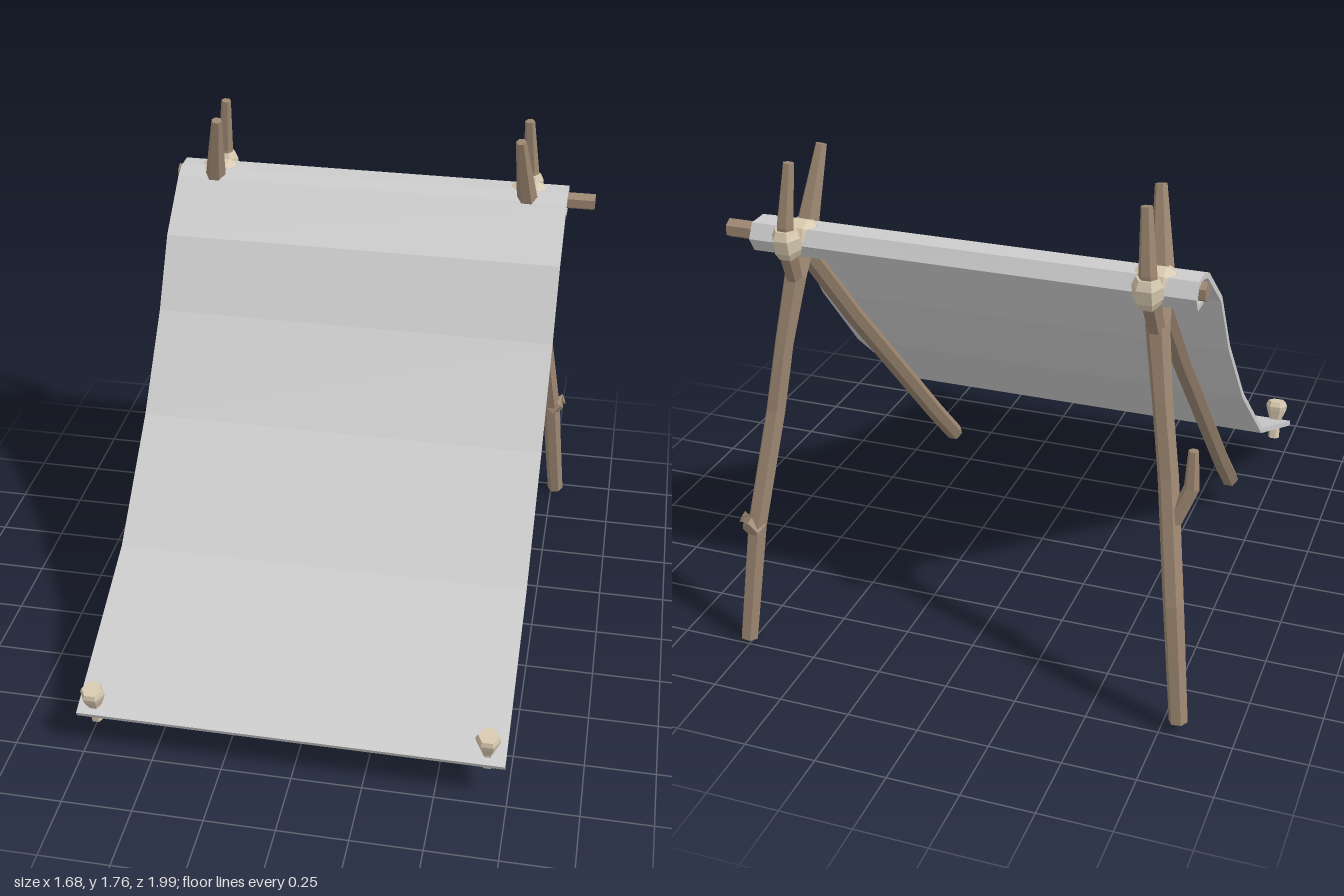
import * as THREE from 'three';

const mat = (color) => new THREE.MeshStandardMaterial({ color, flatShading: true });
const wood = mat(0x9c8671);
const rope = mat(0xd6c8ae);
const cloth = mat(0xcccccc);
const V = (x, y, z) => new THREE.Vector3(x, y, z);

// Faceted stick: rings of `sides` corners along points [x, y, z, radius], capped at both ends
function stick(name, points, material = wood, sides = 6) {
  const p = points.map(([x, y, z]) => V(x, y, z));
  const rings = p.map((c, i) => {
    const t = p[Math.min(i + 1, p.length - 1)].clone().sub(p[Math.max(i - 1, 0)]).normalize();
    const ref = Math.abs(t.x) > 0.8 ? V(0, 1, 0) : V(1, 0, 0);
    const v = t.clone().cross(ref).normalize();
    const u = v.clone().cross(t);
    return Array.from({ length: sides }, (_, k) => {
      const a = (k / sides) * Math.PI * 2;
      return c.clone().addScaledVector(u, Math.cos(a) * points[i][3]).addScaledVector(v, Math.sin(a) * points[i][3]);
    });
  });
  const tris = [];
  const last = rings.length - 1;
  for (let k = 0; k < sides; k++) {
    const n = (k + 1) % sides;
    for (let i = 0; i < last; i++) {
      const [a, b, c, d] = [rings[i][k], rings[i][n], rings[i + 1][n], rings[i + 1][k]];
      tris.push(a, c, b, a, d, c);
    }
    tris.push(p[0], rings[0][k], rings[0][n], p[last], rings[last][n], rings[last][k]);
  }
  // Corners run clockwise about the direction of travel, so swap them to face outward
  const g = new THREE.BufferGeometry();
  const a = V(0, 0, 0).subVectors(tris[1], tris[0]).cross(V(0, 0, 0).subVectors(tris[2], tris[0]));
  const out = tris[0].clone().add(tris[1]).add(tris[2]).divideScalar(3).sub(p[0].clone().add(p[1]).multiplyScalar(0.5));
  if (a.dot(out) < 0) for (let i = 0; i < tris.length; i += 3) [tris[i + 1], tris[i + 2]] = [tris[i + 2], tris[i + 1]];
  g.setFromPoints(tris);
  g.computeVertexNormals();
  const m = new THREE.Mesh(g, material);
  m.name = name;
  return m;
}

// Cloth sheet: a thickened side profile swept across x
function sheet(profile, x0, x1, thickness) {
  const p = profile.map(([z, y]) => new THREE.Vector2(z, y));
  const side = (s) => p.map((c, i) => {
    const t = p[Math.min(i + 1, p.length - 1)].clone().sub(p[Math.max(i - 1, 0)]).normalize();
    return new THREE.Vector2(c.x - t.y * s, c.y + t.x * s);
  });
  const shape = new THREE.Shape([...side(thickness / 2), ...side(-thickness / 2).reverse()]);
  const g = new THREE.ExtrudeGeometry(shape, { depth: x1 - x0, bevelEnabled: false });
  g.rotateY(-Math.PI / 2); // shape x -> z, depth -> -x
  g.translate(x1, 0, 0);
  const m = new THREE.Mesh(g, cloth);
  m.material.side = THREE.DoubleSide;
  m.name = 'clothSheet';
  return m;
}

export function createModel() {
  const model = new THREE.Group();
  model.name = 'leanToShelter';

  // Cloth slopes to the ground and wraps over the ridge pole
  model.add(sheet([
    [0.98, 0.16], [0.36, 0.44], [-0.03, 0.78], [-0.3, 1.09], [-0.455, 1.335], [-0.65, 1.495],
    [-0.7, 1.515], [-0.772, 1.515], [-0.793, 1.475], [-0.77, 1.435], [-0.71, 1.435], [-0.69, 1.46],
  ], -0.77, 0.737, 0.02));

  // Ridge pole
  model.add(stick('ridgePole', [[-0.79, 1.48, -0.74, 0.033], [0.84, 1.48, -0.74, 0.033]]));

  for (const s of [-1, 1]) {
    const end = new THREE.Group();
    end.name = s > 0 ? 'leftSupport' : 'rightSupport';
    model.add(end);
    const add = (name, pts, material, sides) =>
      end.add(stick(name, pts.map(([d, y, z, r]) => [s * d - 0.02, y, z, r]), material, sides));

    // Crooked rear leg running on into the front prong of its fork
    add('rearLeg', [
      [0.788, s > 0 ? 0.01 : 0.04, -0.965, 0.032], [0.745, 0.46, -0.92, 0.035], [0.69, 0.87, -0.83, 0.035],
      [0.655, 1.12, -0.8, 0.034], [0.62, 1.35, -0.755, 0.04], [0.607, 1.5, -0.672, 0.04], [0.576, 1.76, -0.602, 0.02],
    ]);
    // Rear prong of the fork
    add('rearProng', [
      [0.62, 1.33, -0.76, 0.03], [0.61, 1.48, -0.825, 0.034], [0.605, 1.55, -0.832, 0.03], [0.59, 1.76, -0.81, 0.019],
    ]);
    // Slanted front pole
    add('frontPole', [
      [0.6, 0.11, 0.525, 0.035], [0.6, 0.3, 0.335, 0.035], [0.605, 1.06, -0.385, 0.034], [0.61, 1.44, -0.72, 0.033],
    ]);
    // Rope lashings around the joint
    add('frontLashing', [
      [0.61, 1.405, -0.63, 0.05], [0.61, 1.43, -0.655, 0.064], [0.61, 1.475, -0.7, 0.064], [0.61, 1.5, -0.72, 0.05],
    ], rope);
    add('ridgeLashing', [
      [0.54, 1.485, -0.74, 0.045], [0.57, 1.485, -0.74, 0.06], [0.64, 1.485, -0.74, 0.06], [0.67, 1.485, -0.74, 0.045],
    ], rope, 8);
    add('rearLashing', [
      [0.605, 1.45, -0.815, 0.04], [0.605, 1.475, -0.825, 0.05], [0.605, 1.515, -0.832, 0.05], [0.605, 1.54, -0.832, 0.038],
    ], rope);

    // Ground peg through the cloth corner
    const peg = [
      [0.12, 0.93, 0.023], [0.19, 0.942, 0.022], [0.24, 0.954, 0.041], [0.258, 0.957, 0.044], [0.276, 0.961, 0.036],
    ];
    const lift = s > 0 ? 0.005 : -0.01;
    add('groundPeg', peg.map(([y, z, r]) => [0.693, y + lift, z, r]), rope);
  }

  // Side twig on one rear leg, cut knot on the other
  model.add(stick('sideTwig', [
    [-0.73, 0.7, -0.865, 0.025], [-0.79, 0.85, -0.84, 0.026], [-0.79, 0.98, -0.835, 0.017],
  ]));
  model.add(stick('branchKnot', [
    [0.72, 0.44, -0.92, 0.04], [0.752, 0.475, -0.928, 0.037], [0.775, 0.485, -0.93, 0.024],
  ]));
  return model;
}
